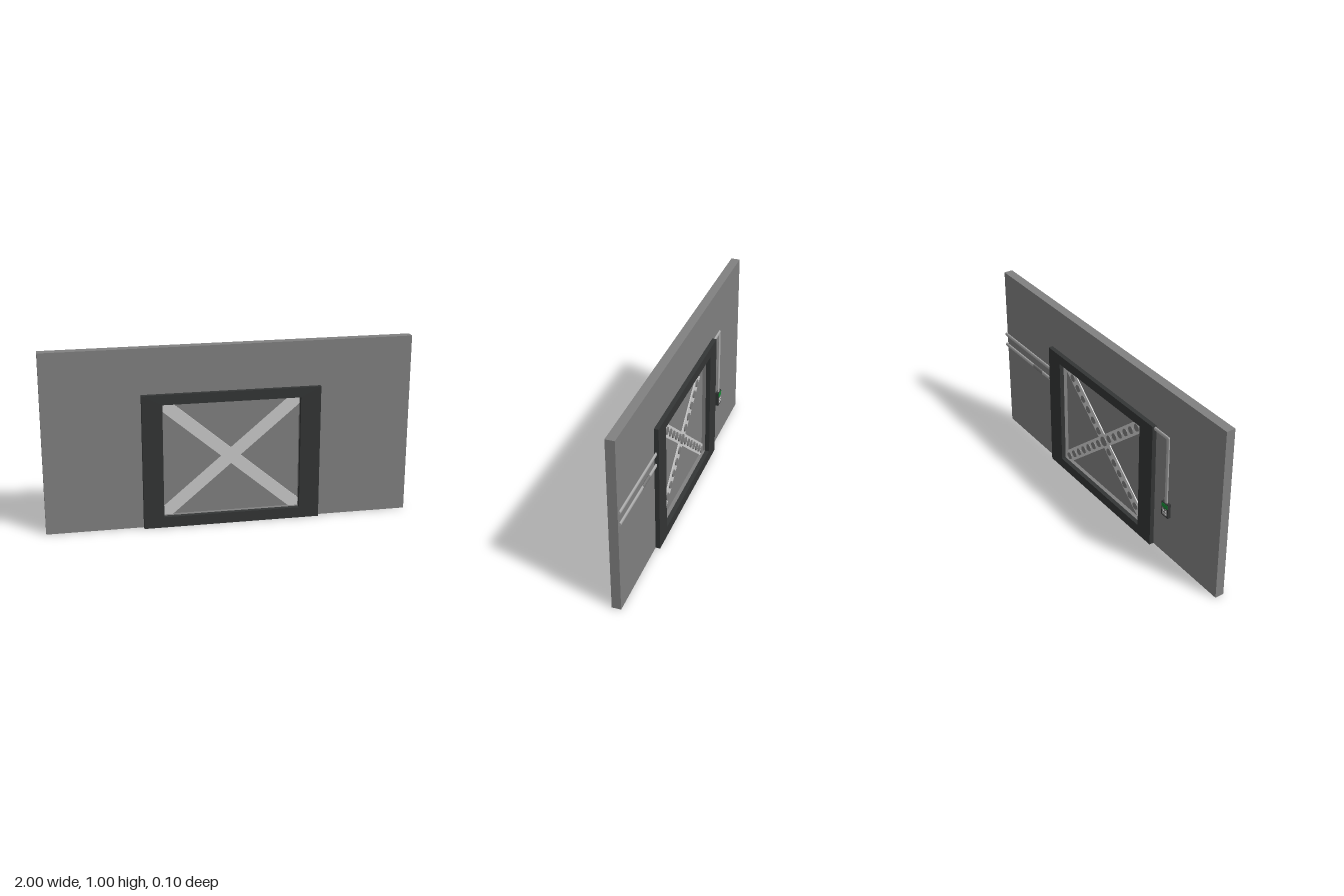
import * as THREE from 'three';

const mat = (color) => new THREE.MeshStandardMaterial({ color });

const wallMat = mat(0x808080);
const frameMat = mat(0x333535);
const braceMat = mat(0xcccccc);
const studMat = mat(0x7c7c7c);
const pipeMat = mat(0xaaaaaa);
const sleeveMat = mat(0x777777);
const greenMat = mat(0x168a35);

// window opening: centre and half sizes
const CX = 0.01, CY = 0.3775, HW = 0.375, HH = 0.3175;

function add(group, name, geometry, material, x = 0, y = 0, z = 0) {
  const mesh = new THREE.Mesh(geometry, material);
  mesh.name = name;
  mesh.position.set(x, y, z);
  group.add(mesh);
  return mesh;
}

function rectPath(Type, x0, y0, x1, y1) {
  const p = new Type();
  p.moveTo(x0, y0);
  p.lineTo(x1, y0);
  p.lineTo(x1, y1);
  p.lineTo(x0, y1);
  p.closePath();
  return p;
}

// rectangular slab pierced by the window opening, centred on z = 0
function piercedSlab(x0, y0, x1, y1, depth) {
  const shape = rectPath(THREE.Shape, x0, y0, x1, y1);
  shape.holes.push(rectPath(THREE.Path, CX - HW, CY - HH, CX + HW, CY + HH));
  return new THREE.ExtrudeGeometry(shape, { depth, bevelEnabled: false }).translate(0, 0, -depth / 2);
}

// diagonal cross whose arm ends are cut square by the opening
function crossGeometry(depth) {
  const cutX = 0.053, cutY = cutX * HH / HW;
  const points = [];
  [[1, 1], [-1, 1], [-1, -1], [1, -1]].forEach(([sx, sy]) => {
    const corner = [[cutX, 0], [HW, HH - cutY], [HW, HH], [HW - cutX, HH], [0, cutY]]
      .map(([x, y]) => new THREE.Vector2(x * sx, y * sy));
    if (sx * sy < 0) corner.reverse();
    points.push(...corner.slice(0, 4));
  });
  return new THREE.ExtrudeGeometry(new THREE.Shape(points), { depth, bevelEnabled: false });
}

// slightly flattened pipe between two points in the plane of the wall
function pipe(group, name, x0, y0, x1, y1, r = 0.011, material = pipeMat) {
  const length = Math.hypot(x1 - x0, y1 - y0);
  const geometry = new THREE.CylinderGeometry(r, r, length, 20).scale(1, 1, 0.55);
  const mesh = add(group, name, geometry, material, (x0 + x1) / 2, (y0 + y1) / 2, -0.034);
  mesh.rotation.z = Math.atan2(y1 - y0, x1 - x0) - Math.PI / 2;
}

export function createModel() {
  const model = new THREE.Group();
  model.name = 'wallWithBracedWindow';

  add(model, 'wall', piercedSlab(-1, 0, 1, 1, 0.05), wallMat);

  // raised surround on both faces of the wall
  for (const side of [1, -1]) {
    add(model, side > 0 ? 'frontFrame' : 'backFrame',
      piercedSlab(-0.475, 0, 0.495, 0.75, 0.025), frameMat, 0, 0, side * 0.0375);
  }

  // recessed pane with a cross brace on each side
  add(model, 'pane', new THREE.BoxGeometry(2 * HW, 2 * HH, 0.008), wallMat, CX, CY, 0);
  add(model, 'frontBrace', crossGeometry(0.006), braceMat, CX, CY, 0.004);
  add(model, 'backBrace', crossGeometry(0.006), braceMat, CX, CY, -0.01);

  // round studs along the back brace
  const studs = new THREE.Group();
  studs.name = 'braceStuds';
  const disc = (r) => new THREE.CylinderGeometry(r, r, 0.005, 24).rotateX(Math.PI / 2);
  add(studs, 'centreStud', disc(0.028), studMat, CX, CY, -0.0125);
  const studGeometry = disc(0.021);
  for (const sx of [1, -1]) {
    for (const sy of [1, -1]) {
      for (let i = 1; i <= 7; i++) {
        const t = i * 0.133;
        add(studs, 'stud', studGeometry, studMat, CX + sx * t * HW, CY + sy * t * HH, -0.0125);
      }
    }
  }
  model.add(studs);

  // conduits on the back of the wall
  pipe(model, 'upperPipe', 0.48, 0.6, 1, 0.6);
  pipe(model, 'lowerPipe', 0.48, 0.532, 1, 0.532);
  pipe(model, 'pipeSleeve', 0.595, 0.532, 0.69, 0.532, 0.0125, sleeveMat);
  pipe(model, 'outletPipe', -0.46, 0.735, -0.585, 0.735);
  pipe(model, 'dropPipe', -0.585, 0.735, -0.585, 0.33);
  add(model, 'pipeElbow', new THREE.SphereGeometry(0.011, 16, 12).scale(1, 1, 0.55), pipeMat, -0.585, 0.735, -0.034);

  // small control box at the end of the drop pipe
  const box = new THREE.Group();
  box.name = 'controlBox';
  add(box, 'housing', new THREE.BoxGeometry(0.055, 0.085, 0.018), frameMat);
  add(box, 'display', new THREE.BoxGeometry(0.045, 0.024, 0.003), greenMat, 0, 0.025, -0.0095);
  add(box, 'keypad', new THREE.BoxGeometry(0.04, 0.042, 0.002), sleeveMat, 0, -0.014, -0.0092);
  for (const x of [-0.009, 0.009]) {
    for (const y of [-0.024, -0.006]) {
      add(box, 'button', new THREE.BoxGeometry(0.009, 0.01, 0.003), braceMat, x, y, -0.0105);
    }
  }
  box.position.set(-0.585, 0.3, -0.034);
  model.add(box);

  return model;
}
